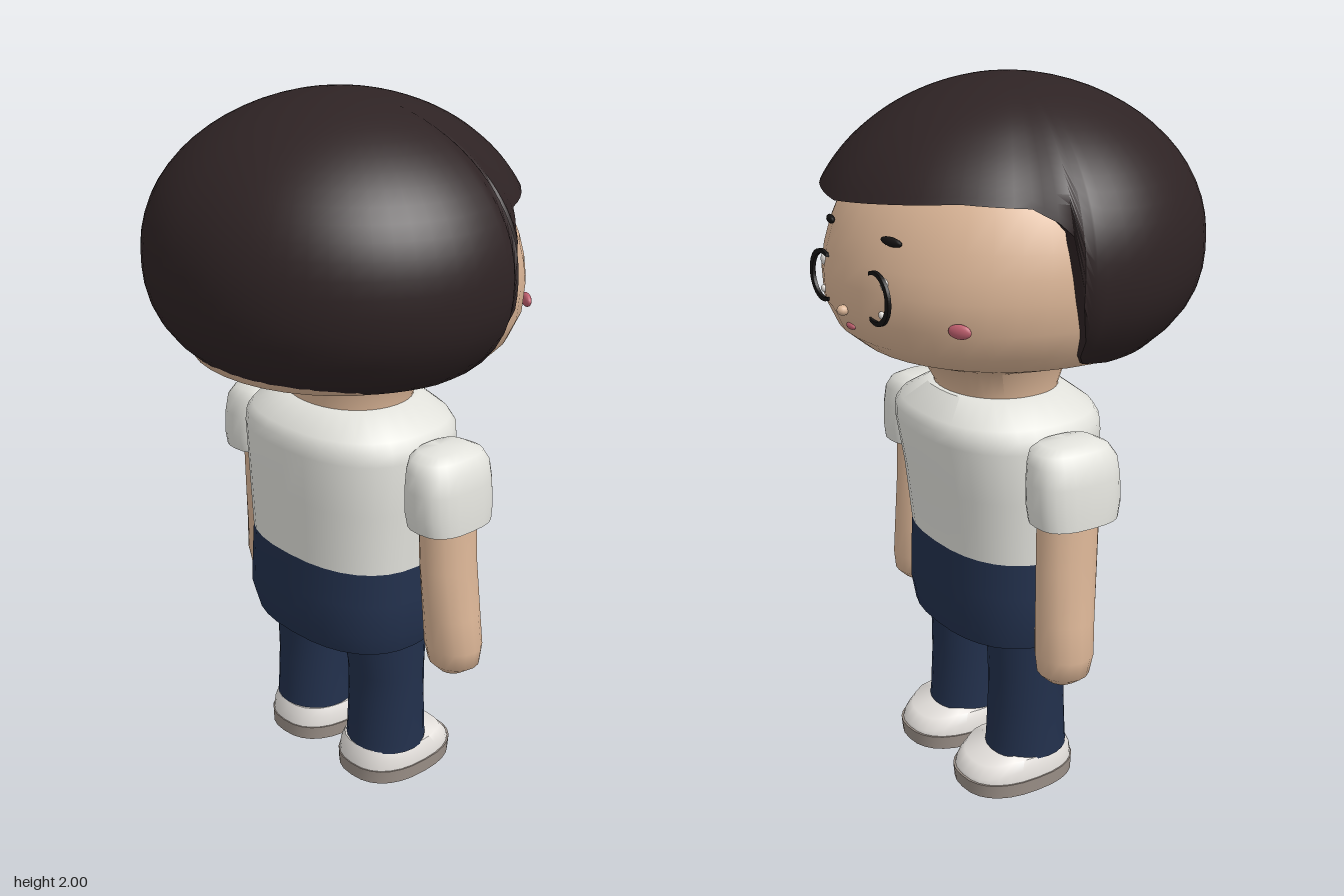
import * as THREE from 'three';
import { toCreasedNormals } from 'three/addons/utils/BufferGeometryUtils.js';

const mat = (name, color, side = THREE.FrontSide) => {
  const m = new THREE.MeshStandardMaterial({ color, side });
  m.name = name;
  return m;
};

// Skin a stack of closed loops of [x, y, z] points
function skinLoops(loops, crease) {
  const n = loops[0].length, idx = [];
  for (let i = 0; i < loops.length - 1; i++)
    for (let j = 0; j < n; j++) {
      const a = i * n + j, b = i * n + (j + 1) % n;
      idx.push(a, a + n, b, b, a + n, b + n);
    }
  const g = new THREE.BufferGeometry();
  g.setAttribute('position', new THREE.Float32BufferAttribute(loops.flat(2), 3));
  g.setIndex(idx);
  return toCreasedNormals(g, crease);
}

// Cross-sections from bottom to top: [y, half width, min z, max z, centre x]
function loft(rings, { power = 2, n = 32, crease = 0.7 } = {}) {
  const bend = v => Math.sign(v) * Math.pow(Math.abs(v), 2 / power);
  const loops = rings.map(([y, rx, z0, z1, cx = 0]) => Array.from({ length: n }, (_, j) => {
    const a = (j / n) * Math.PI * 2;
    return [cx + rx * bend(Math.cos(a)), y, (z0 + z1) / 2 + (z1 - z0) / 2 * bend(Math.sin(a))];
  }));
  return skinLoops(loops, crease);
}

// Bob haircut: [degrees from the back, hem height, radius scale]
function hairGeometry() {
  const hem = [
    [0, 1.305, 0.95], [45, 1.305, 0.975], [85, 1.305, 1], [97, 1.32, 1], [100, 1.35, 1],
    [100.5, 1.4, 0.995], [103, 1.5, 0.99], [105.5, 1.67, 0.98], [109, 1.7, 0.96],
    [116, 1.73, 0.93], [137, 1.74, 0.95], [160, 1.728, 0.985], [180, 1.715, 1],
  ];
  const half = [];
  hem.slice(0, -1).forEach((p, i) => {
    const q = hem[i + 1], steps = Math.ceil((q[0] - p[0]) / 6);
    for (let k = 0; k < steps; k++) half.push(p.map((v, c) => v + (q[c] - v) * k / steps));
  });
  half.push(hem[hem.length - 1]);
  const around = [...half, ...half.slice(1, -1).reverse().map(([a, h, s]) => [360 - a, h, s])];
  const radius = y => y > 1.58
    ? 0.548 * Math.pow(Math.max(0, 1 - ((y - 1.58) / 0.42) ** 2), 0.54)
    : 0.548 - 0.138 * Math.pow((1.58 - y) / 0.275, 2.6);
  const loop = (v, inset) => around.map(([deg, h, s]) => {
    const a = deg * Math.PI / 180, y = 2 - (2 - h) * (1 - Math.cos(v * Math.PI / 2));
    const r = radius(y) * (1 + (s - 1) * Math.min(1, v * 1.5)) * inset;
    return [r * Math.sin(a), y, r * Math.cos(a)];
  });
  const loops = [];
  for (let i = 0; i <= 22; i++) loops.push(loop(i / 22, 1));
  loops.push(loop(1, 0.88));
  return skinLoops(loops, 0.9);
}

export function createModel() {
  const root = new THREE.Group();
  root.name = 'child';
  const skin = mat('skin', 0xdcb697);
  const hair = mat('hair', 0x2e2324, THREE.DoubleSide);
  const shirt = mat('shirt', 0xe2e2dc, THREE.DoubleSide);
  const navy = mat('trousers', 0x22304c, THREE.DoubleSide);
  const white = mat('shoeWhite', 0xe4e0dc);
  const sole = mat('sole', 0x9a8f87);
  const black = mat('black', 0x151313, THREE.DoubleSide);
  const pink = mat('blush', 0xc0606f);

  const add = (name, geo, m, parent = root) => {
    const mesh = new THREE.Mesh(geo, m);
    mesh.name = name;
    parent.add(mesh);
    return mesh;
  };
  const ball = (name, m, pos, scale, parent = root) => {
    const b = add(name, new THREE.SphereGeometry(1, 16, 10), m, parent);
    b.position.set(...pos);
    b.scale.set(...scale);
    return b;
  };

  // Head and neck
  add('head', loft([
    [1.14, 0.185, -0.205, 0.125], [1.17, 0.185, -0.205, 0.125], [1.245, 0.215, -0.245, 0.145],
    [1.305, 0.4, -0.41, 0.4], [1.35, 0.44, -0.465, 0.43], [1.42, 0.47, -0.497, 0.45],
    [1.5, 0.48, -0.5, 0.46], [1.56, 0.478, -0.489, 0.46], [1.62, 0.468, -0.47, 0.45],
    [1.72, 0.43, -0.425, 0.4], [1.82, 0.33, -0.32, 0.3], [1.86, 0, 0, 0],
  ], { power: 2.1, n: 40, crease: 0.8 }), skin);
  add('hair', hairGeometry(), hair);

  // Shirt and trouser seat
  add('shirt', loft([
    [0.72, 0.3, -0.245, 0.195], [0.9, 0.308, -0.265, 0.205], [1.05, 0.315, -0.292, 0.215],
    [1.085, 0.31, -0.293, 0.213], [1.11, 0.29, -0.28, 0.2], [1.165, 0.19, -0.22, 0.13],
    [1.165, 0.17, -0.2, 0.11],
  ], { power: 2.4 }), shirt);
  add('trouserSeat', loft([
    [0.475, 0, -0.03, -0.03], [0.462, 0.29, -0.24, 0.185], [0.53, 0.308, -0.25, 0.203],
    [0.62, 0.305, -0.25, 0.2], [0.72, 0.3, -0.245, 0.195],
  ], { power: 2.4 }), navy);

  // Nose and mouth
  ball('nose', skin, [0, 1.43, -0.504], [0.016, 0.014, 0.016]);
  ball('mouth', pink, [0, 1.385, -0.482], [0.022, 0.009, 0.008]);

  for (const s of [1, -1]) {
    const side = s > 0 ? 'left' : 'right';
    const limb = new THREE.Group();
    limb.name = side + 'Limbs';
    root.add(limb);

    // Arm with rounded hand, and puffed sleeve
    add(side + 'Arm', loft([
      [0.412, 0, -0.08, -0.08, 0.395 * s], [0.418, 0.04, -0.12, -0.035, 0.395 * s],
      [0.445, 0.076, -0.148, -0.008, 0.395 * s], [0.5, 0.086, -0.153, 0.004, 0.394 * s],
      [0.6, 0.08, -0.151, 0.013, 0.388 * s], [0.75, 0.072, -0.147, 0.028, 0.38 * s],
      [0.95, 0.068, -0.143, 0.038, 0.375 * s],
    ], { n: 16, crease: 1 }), skin, limb);
    add(side + 'Sleeve', loft([
      [0.91, 0.06, -0.13, 0.03, 0.385 * s], [0.885, 0.087, -0.168, 0.073, 0.39 * s],
      [0.93, 0.088, -0.175, 0.083, 0.388 * s], [1.0, 0.085, -0.175, 0.083, 0.384 * s],
      [1.05, 0.08, -0.17, 0.077, 0.38 * s], [1.08, 0.07, -0.157, 0.06, 0.37 * s],
      [1.095, 0.05, -0.125, 0.03, 0.36 * s], [1.097, 0, -0.045, -0.045, 0.35 * s],
    ], { power: 2.7, n: 24, crease: 0.9 }), shirt, limb);

    // Trouser leg
    add(side + 'Leg', loft([
      [0.095, 0.09, -0.135, 0.05, 0.16 * s], [0.095, 0.12, -0.16, 0.075, 0.16 * s],
      [0.12, 0.118, -0.157, 0.073, 0.16 * s], [0.25, 0.115, -0.15, 0.067, 0.16 * s],
      [0.34, 0.115, -0.15, 0.07, 0.16 * s], [0.42, 0.118, -0.153, 0.084, 0.16 * s],
      [0.55, 0.12, -0.155, 0.09, 0.16 * s],
    ], { n: 24 }), navy, limb);

    // Shoe: sole and upper with a toe that slopes down to the front
    add(side + 'Sole', loft([
      [0, 0, -0.08, -0.08, 0.155 * s], [0, 0.134, -0.258, 0.093, 0.155 * s],
      [0.042, 0.136, -0.262, 0.095, 0.155 * s], [0.042, 0.11, -0.24, 0.07, 0.155 * s],
    ], { power: 2.4, n: 28 }), sole, limb);
    const upper = loft([
      [0.04, 0.132, -0.257, 0.092, 0.155 * s], [0.075, 0.13, -0.252, 0.087, 0.155 * s],
      [0.1, 0.118, -0.225, 0.075, 0.155 * s], [0.108, 0, -0.06, -0.06, 0.155 * s],
    ], { power: 2.4, n: 28, crease: 1 });
    const p = upper.attributes.position;
    for (let i = 0; i < p.count; i++)
      if (p.getY(i) > 0.07) p.setY(i, p.getY(i) - Math.max(0, -0.15 - p.getZ(i)) * 0.27);
    add(side + 'ShoeUpper', upper, white, limb);

    // Eye outline, open towards the nose, with two glints
    const face = new THREE.Group();
    face.name = side + 'FaceDetails';
    root.add(face);
    const outer = s > 0 ? -2.0 : Math.PI - 2.0;
    const arc = new THREE.Shape();
    arc.absarc(0, 0, 0.07, outer, outer + 4.0, false);
    arc.absarc(s * -0.006, 0, 0.059, outer + 4.0, outer, true);
    const eye = add(side + 'EyeOutline',
      new THREE.ExtrudeGeometry(arc, { depth: 0.009, bevelEnabled: false, curveSegments: 24 }), black, face);
    eye.position.set(0.147 * s, 1.49, -0.489);
    ball(side + 'EyeGlintTop', white, [0.165 * s, 1.527, -0.47], [0.014, 0.016, 0.009], face);
    ball(side + 'EyeGlintLow', white, [0.16 * s, 1.45, -0.478], [0.009, 0.01, 0.007], face);

    // Brow and cheek
    const brow = ball(side + 'Brow', black, [0.165 * s, 1.632, -0.447], [0.036, 0.012, 0.01], face);
    brow.rotation.set(0, s * -0.3, s * -0.08);
    const cheek = ball(side + 'Cheek', pink, [0.35 * s, 1.435, -0.366], [0.032, 0.019, 0.012], face);
    cheek.rotation.y = s * -0.55;
  }
  return root;
}
